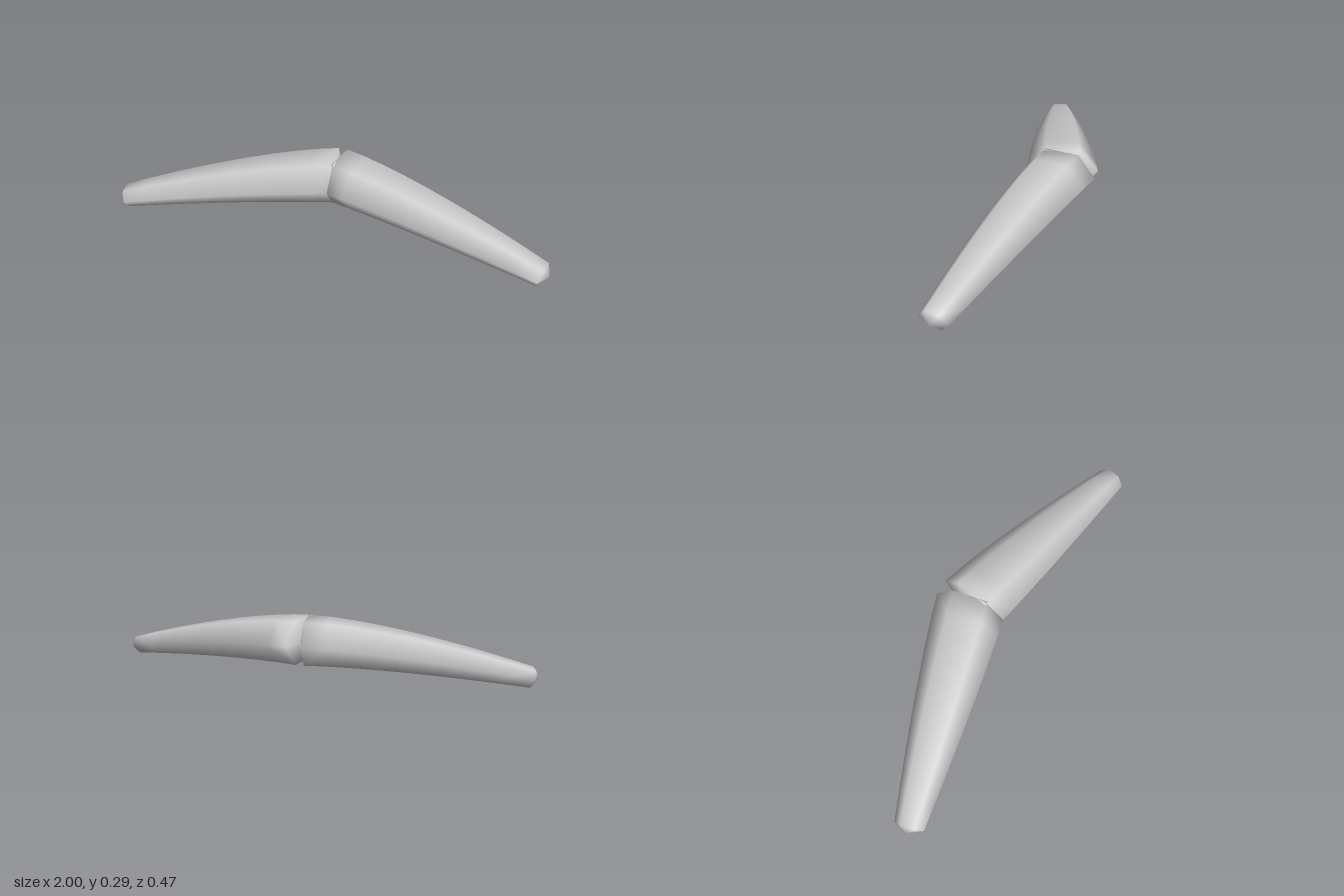
import * as THREE from 'three';

const SIDES = 6, STEPS = 10;

// One tapering, curved six-sided arm with shallow pointed caps; s = 1 left, -1 right
function armGeometry(s) {
  const pos = [], idx = [];
  const tri = (a, b, c) => (s > 0 ? idx.push(a, b, c) : idx.push(a, c, b));
  for (let i = 0; i <= STEPS; i++) {
    const u = i / STEPS;
    const size = 1 - 0.59 * Math.pow(u, 1.35);
    const cx = 0.005 + 0.965 * u;
    const cy = 0.1925 - 0.1515 * Math.pow(u, 1.46);
    const cz = -0.077 + 0.246 * u;
    const leanZ = 0.19 + 0.04 * u, leanY = 0.25 * u;
    for (let k = 0; k < SIDES; k++) {
      const a = (k / SIDES) * Math.PI * 2;
      const dz = 0.158 * size * Math.cos(a);
      const dy = 0.1125 * size * Math.sin(a);
      pos.push(s * (cx - leanZ * dz + leanY * dy), cy + dy, cz + dz);
    }
  }
  // Walls between neighbouring rings
  for (let i = 0; i < STEPS; i++) {
    for (let k = 0; k < SIDES; k++) {
      const n = (k + 1) % SIDES;
      const a = i * SIDES + k, b = a + SIDES, c = i * SIDES + n, d = c + SIDES;
      tri(a, b, c);
      tri(c, b, d);
    }
  }
  // Caps: inner end near the middle, outer tip
  const inner = pos.length / 3, outer = inner + 1, last = STEPS * SIDES;
  pos.push(s * -0.02, 0.1925, -0.08, s * 1.0, 0.038, 0.172);
  for (let k = 0; k < SIDES; k++) {
    const n = (k + 1) % SIDES;
    tri(inner, k, n);
    tri(outer, last + n, last + k);
  }
  const g = new THREE.BufferGeometry();
  g.setAttribute('position', new THREE.Float32BufferAttribute(pos, 3));
  g.setIndex(idx);
  g.computeVertexNormals();
  return g;
}

export function createModel() {
  const group = new THREE.Group();
  group.name = 'curvedArms';
  const grey = new THREE.MeshStandardMaterial({ color: 0xcccccc });
  grey.name = 'light grey';
  for (const [name, s] of [['leftArm', 1], ['rightArm', -1]]) {
    const arm = new THREE.Mesh(armGeometry(s), grey);
    arm.name = name;
    group.add(arm);
  }
  return group;
}
